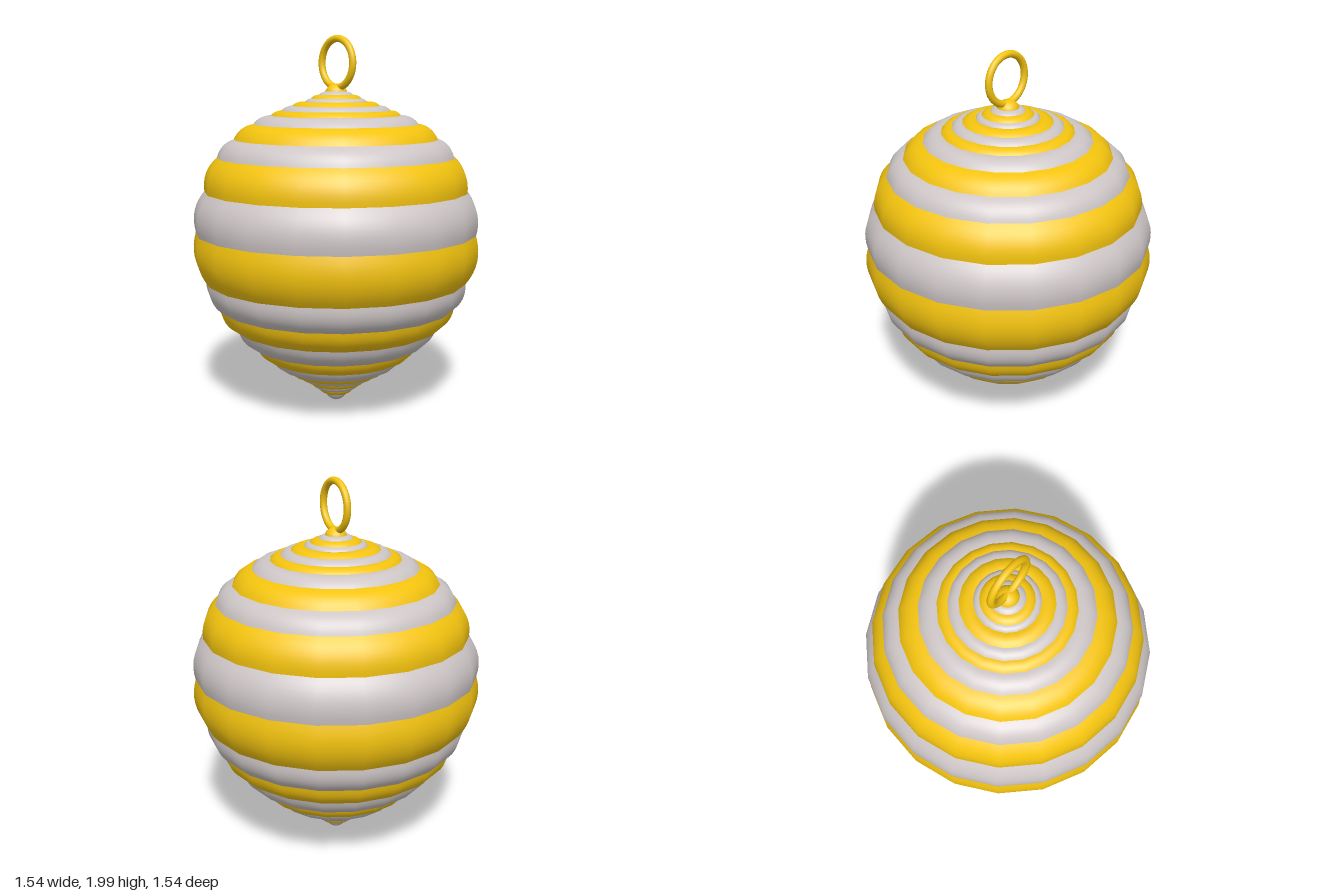
import * as THREE from 'three';

const SIDES = 20;
const yellow = new THREE.MeshStandardMaterial({ color: 0xf4c40f, side: THREE.DoubleSide });
const pale = new THREE.MeshStandardMaterial({ color: 0xcfc7c7, side: THREE.DoubleSide });

// Seams between the stripes, bottom to top: [radius, height]
const seams = [
  [0, 0.006], [0.06, 0.05], [0.1, 0.08], [0.135, 0.108], [0.175, 0.14], [0.23, 0.17],
  [0.28, 0.2], [0.36, 0.26], [0.445, 0.335], [0.55, 0.44], [0.645, 0.56], [0.705, 0.7],
  [0.755, 0.96], [0.705, 1.18], [0.635, 1.36], [0.545, 1.455], [0.44, 1.535],
  [0.345, 1.58], [0.29, 1.605], [0.235, 1.63], [0.165, 1.65], [0.135, 1.668],
  [0.09, 1.688], [0.05, 1.705],
].map(([r, y]) => new THREE.Vector2(r, y));

// One stripe: the line between two seams, bowed outwards and revolved
function stripe(a, b) {
  const chord = b.clone().sub(a);
  const outward = new THREE.Vector2(chord.y, -chord.x);
  const points = [];
  const steps = 8;
  for (let i = 0; i <= steps; i++) {
    const t = i / steps;
    const p = a.clone().addScaledVector(chord, t).addScaledVector(outward, 0.13 * 4 * t * (1 - t));
    points.push(new THREE.Vector2(Math.max(p.x, 0), Math.max(p.y, 0)));
  }
  return new THREE.LatheGeometry(points, SIDES);
}

export function createModel() {
  const model = new THREE.Group();
  model.name = 'bauble';

  const add = (parent, name, geometry, material) => {
    const mesh = new THREE.Mesh(geometry, material);
    mesh.name = name;
    parent.add(mesh);
    return mesh;
  };

  // Striped body, pale at the tip and alternating upwards
  const body = new THREE.Group();
  body.name = 'body';
  model.add(body);
  for (let i = 0; i < seams.length - 1; i++) {
    add(body, `stripe${i + 1}`, stripe(seams[i], seams[i + 1]), i % 2 ? yellow : pale);
  }

  // Rounded cap under the hanging ring
  const cap = add(model, 'cap', new THREE.SphereGeometry(0.06, SIDES, 12), yellow);
  cap.scale.y = 0.9;
  cap.position.y = 1.692;

  // Hanging ring, facing the front
  const ring = add(model, 'hangingRing', new THREE.TorusGeometry(0.127, 0.019, 12, 40), yellow);
  ring.position.set(0.008, 1.854, 0);

  return model;
}
